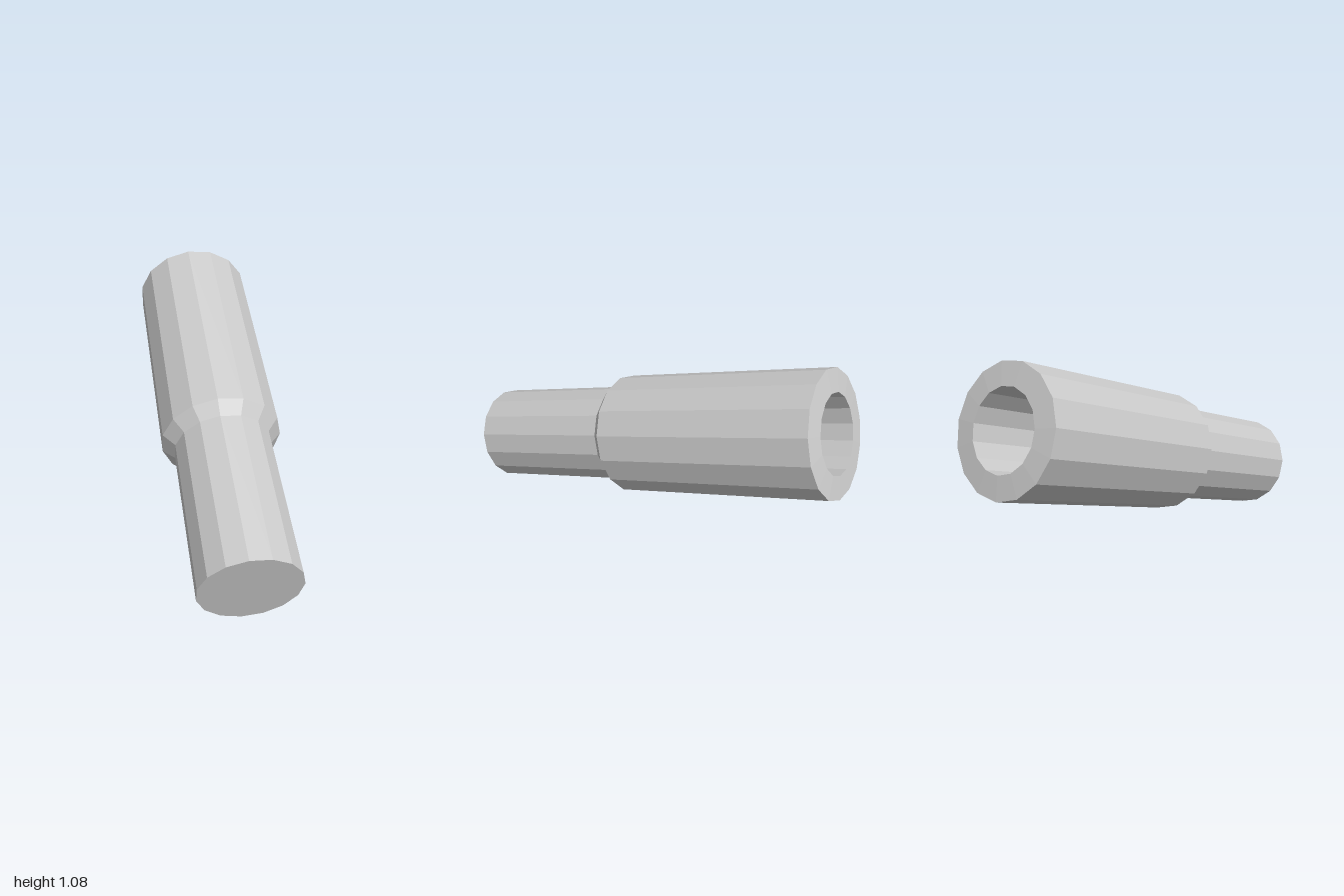
import * as THREE from 'three';

const SIDES = 15;
const TILT = Math.atan2(0.5775, 1.84); // rise of the axis towards the back

// Axis stations measured from the front end, and radii
const R_SMALL = 0.238, R_LARGE = 0.294, R_BORE = 0.185;
const SHOULDER_START = 0.775, SHOULDER_END = 0.833, LENGTH = 1.928;

export function createModel() {
  const material = new THREE.MeshStandardMaterial({ color: 0xcccccc, flatShading: true });
  const group = new THREE.Group();
  group.name = 'steppedTube';

  // Each part is a faceted ring of surface along the axis, with a corner at +x
  const addPart = (name, profile) => {
    const points = profile.map(([r, y]) => new THREE.Vector2(r, y));
    const mesh = new THREE.Mesh(new THREE.LatheGeometry(points, SIDES, Math.PI / 2), material);
    mesh.name = name;
    group.add(mesh);
  };

  // Narrow front section with its closed end
  addPart('narrowShaft', [[0, 0], [R_SMALL, 0], [R_SMALL, SHOULDER_START]]);
  // Sloped step between the two diameters
  addPart('shoulder', [[R_SMALL, SHOULDER_START], [R_LARGE, SHOULDER_END]]);
  // Wide rear section
  addPart('wideSleeve', [[R_LARGE, SHOULDER_END], [R_LARGE, LENGTH]]);
  // Slightly coned rear rim
  addPart('rearRim', [[R_LARGE, LENGTH], [R_BORE, LENGTH + 0.008]]);
  // Blind hole in the rear
  addPart('bore', [[R_BORE, LENGTH + 0.008], [R_BORE, SHOULDER_END], [0, SHOULDER_END]]);

  // Lay the axis back and lift the front end into place
  group.rotation.x = TILT - Math.PI / 2;
  group.position.set(-0.003, 0.232, 0.93);

  const model = new THREE.Group();
  model.name = 'model';
  model.add(group);
  return model;
}
